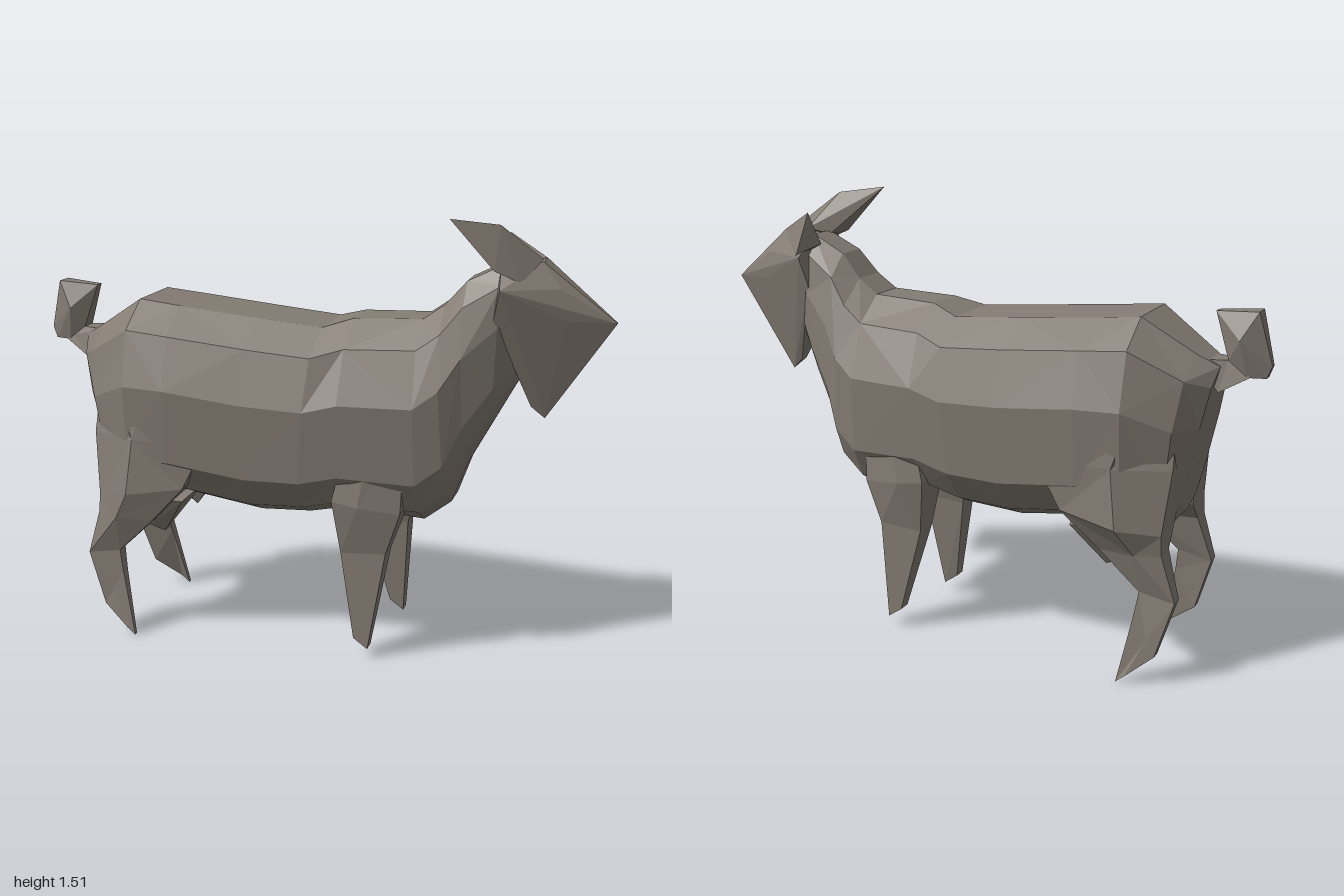
import * as THREE from 'three';
import { ConvexGeometry } from 'three/addons/geometries/ConvexGeometry.js';

const coat = new THREE.MeshStandardMaterial({ color: 0x857d74 });
coat.name = 'greyBrownCoat';
coat.flatShading = true;

// Skin a list of equal-sized rings of [x, y, z] points and close both ends.
function loft(rings) {
  const n = rings[0].length;
  const tris = [];
  for (let i = 0; i < rings.length - 1; i++) {
    for (let j = 0; j < n; j++) {
      const k = (j + 1) % n;
      const a = rings[i][j], b = rings[i][k], c = rings[i + 1][k], d = rings[i + 1][j];
      if ((i + j) % 2) tris.push([a, b, c], [a, c, d]);
      else tris.push([a, b, d], [b, c, d]);
    }
  }
  const first = rings[0], last = rings[rings.length - 1];
  for (let j = 1; j < n - 1; j++) {
    tris.push([first[0], first[j + 1], first[j]], [last[0], last[j], last[j + 1]]);
  }
  // Turn the faces outwards if the enclosed volume is negative.
  const p = new THREE.Vector3(), q = new THREE.Vector3(), r = new THREE.Vector3();
  let volume = 0;
  for (const [a, b, c] of tris) volume += p.fromArray(a).dot(q.fromArray(b).cross(r.fromArray(c)));
  if (volume < 0) tris.forEach((t) => t.reverse());
  const geometry = new THREE.BufferGeometry();
  geometry.setAttribute('position', new THREE.Float32BufferAttribute(tris.flat(2), 3));
  geometry.computeVertexNormals();
  return geometry;
}

const hull = (points) => new ConvexGeometry(points.map((p) => new THREE.Vector3(...p)));
const both = (points) => points.flatMap(([x, y, z]) => (z ? [[x, y, z], [x, y, -z]] : [[x, y, z]]));

// Body cross-section from back to belly; ridge is the flat share of the back.
function bodyRing([xTop, yTop, xLow, yLow, w, ridge]) {
  const profile = [[1, ridge], [0.88, 0.51 + ridge * 0.8], [0.62, 1], [0.24, 0.92], [0.08, 0.66], [0, 0.26]];
  const side = profile.map(([h, z]) => [xLow + (xTop - xLow) * h, yLow + (yTop - yLow) * h, z * w]);
  return [...side, ...side.map(([x, y, z]) => [x, y, -z]).reverse()];
}

// Five-sided limb section: back edge, front edge, inner z, outer z at back, middle and front.
const limbRing = (s) => ([xb, yb, xf, yf, zi, zb, zm = zb, zf = zm]) => [
  [xb, yb, zi * s], [xb, yb, zb * s],
  [xb + (xf - xb) * 0.4, yb + (yf - yb) * 0.4, zm * s],
  [xf, yf, zf * s], [xf, yf, zi * s],
];

export function createModel() {
  const goat = new THREE.Group();
  goat.name = 'goat';
  const add = (name, geometry) => {
    const mesh = new THREE.Mesh(geometry, coat);
    mesh.name = name;
    goat.add(mesh);
  };

  // Rump, barrel, chest and neck: [xTop, yTop, xBottom, yBottom, halfWidth, ridge]
  add('body', loft([
    [-0.84, 1.05, -0.74, 0.55, 0.11, 0.4],
    [-0.77, 1.09, -0.7, 0.5, 0.21, 0.35],
    [-0.6, 1.2, -0.6, 0.49, 0.29, 0.4],
    [-0.45, 1.185, -0.45, 0.51, 0.303, 0.4],
    [-0.18, 1.16, -0.18, 0.47, 0.292, 0.4],
    [0.05, 1.14, 0.0, 0.48, 0.285, 0.4],
    [0.15, 1.17, 0.14, 0.51, 0.272, 0.28],
    [0.38, 1.18, 0.4, 0.49, 0.24, 0.28],
    [0.45, 1.23, 0.49, 0.56, 0.215, 0.3],
    [0.52, 1.31, 0.54, 0.7, 0.175, 0.32],
    [0.64, 1.37, 0.62, 0.85, 0.125, 0.4],
    [0.71, 1.34, 0.7, 1.0, 0.06, 0.4],
  ].map(bodyRing)));

  // Wedge-shaped head with the beard running into the jaw
  add('head', hull(both([
    [0.63, 1.36, 0.08], [0.64, 1.3, 0.155], [0.62, 1.2, 0.13], [0.7, 1.05, 0.06],
    [0.76, 1.38, 0.045], [0.82, 1.3, 0.065], [0.84, 1.2, 0.065],
    [0.995, 1.19, 0.006], [0.78, 0.86, 0], [0.735, 0.9, 0.015],
  ])));

  // Horns differ: the left one sweeps back, the right one is short and upright
  add('sweptHorn', hull([
    [0.48, 1.52, 0.17], [0.63, 1.5, 0.11], [0.62, 1.36, 0.145], [0.7, 1.32, 0.11],
    [0.63, 1.36, 0.04], [0.76, 1.39, 0.05], [0.7, 1.38, 0.0],
  ]));
  add('shortHorn', hull([
    [0.63, 1.45, -0.1], [0.65, 1.31, -0.15], [0.6, 1.34, -0.07], [0.7, 1.27, -0.11],
    [0.76, 1.38, -0.045], [0.69, 1.375, 0.0],
  ]));

  for (const s of [1, -1]) {
    const tag = s > 0 ? 'Left' : 'Right';

    // The right front foot stands slightly further forward
    const step = s > 0 ? 0 : 0.04;
    add('frontLeg' + tag, loft([
      [0.18, 0.84, 0.36, 0.82, 0.05, 0.22, 0.23, 0.2],
      [0.12, 0.58, 0.35, 0.55, 0.08, 0.235, 0.245, 0.215],
      [0.145, 0.39, 0.3, 0.4, 0.12, 0.205],
      [0.19 + step, 0.08, 0.24 + step, 0.045, 0.155, 0.2],
    ].map(limbRing(s))));

    // The right hock is tucked further in
    const tuck = s > 0 ? 0 : 0.04;
    add('rearLeg' + tag, loft([
      [-0.74, 0.96, -0.5, 0.98, 0.04, 0.14, 0.25, 0.27],
      [-0.75, 0.74, -0.31, 0.75, 0.06, 0.2, 0.285, 0.275],
      [-0.73, 0.53, -0.4, 0.58, 0.1, 0.23, 0.3, 0.27],
      [-0.73, 0.46, -0.52, 0.45, 0.165 - tuck / 2, 0.24 - tuck / 2, 0.285 - tuck, 0.26 - tuck],
      [-0.775, 0.3, -0.655, 0.32, 0.2 - tuck, 0.245 - tuck],
      [-0.72, 0.11, -0.645, 0.24, 0.21 - tuck / 2, 0.245 - tuck / 2],
      [-0.63, 0.035, -0.6, 0.01, 0.25 - tuck / 3, 0.264 - tuck / 3],
    ].map(limbRing(s))));

    add('udder' + tag, hull([
      [-0.63, 0.52, 0.09], [-0.39, 0.55, 0.1], [-0.42, 0.52, 0.23],
      [-0.6, 0.52, 0.23], [-0.52, 0.375, 0.15], [-0.57, 0.4, 0.17],
    ].map(([x, y, z]) => [x, y, z * s])));
  }

  // Short tail stem with a blocky upturned tuft
  add('tailStem', loft([
    [-0.84, 0.97, -0.76, 1.07, -0.06, 0.06],
    [-0.93, 1.02, -0.86, 1.07, -0.03, 0.03],
    [-0.94, 1.08, -0.87, 1.11, -0.03, 0.03],
  ].map(limbRing(1))));
  add('tailTuft', hull(both([
    [-0.995, 1.06, 0.012], [-0.98, 1.02, 0.015], [-0.92, 1.02, 0.03], [-0.86, 1.07, 0.03],
    [-0.9, 1.14, 0.06], [-0.81, 1.22, 0.015], [-0.95, 1.23, 0.03],
  ])));

  return goat;
}
